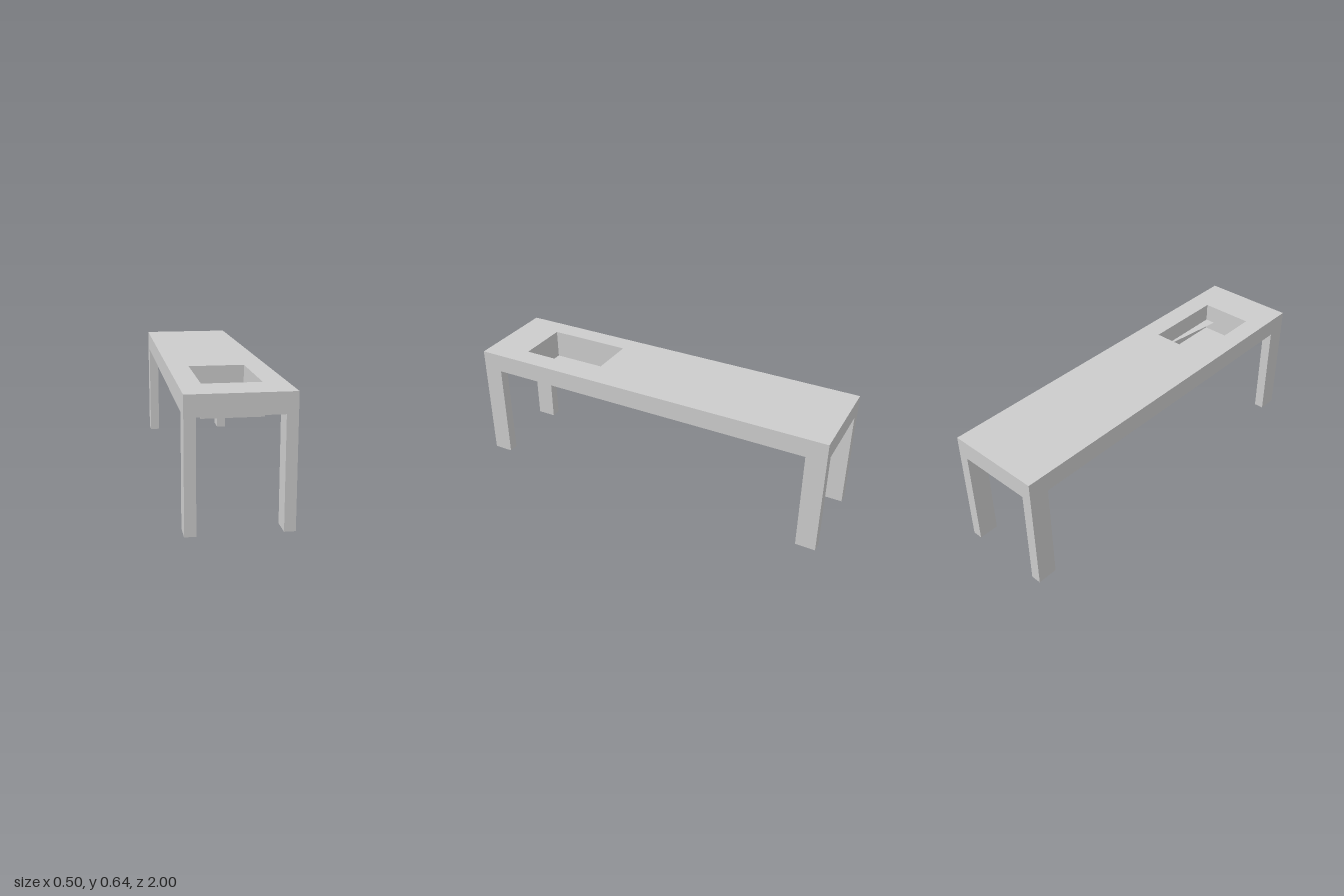
import * as THREE from 'three';

const TOP = 0.639, UNDER = 0.539, BASIN_Y = 0.48, FLOOR_Y = 0.484;
const HALF_X = 0.251, HALF_Z = 1;
const LEG_X = 0.054, LEG_Z = 0.106;
// Rectangles as [x0, x1, z0, z1]
const OPENING = [-0.145, 0.138, 0.329, 0.778];
const BASIN = [-0.149, 0.147, 0.326, 0.793];

const material = new THREE.MeshStandardMaterial({ color: 0xcccccc, flatShading: true });

// Rectangle outline on the x/z plane; shape y is -z so the extrusion rises in y
function rectangle(Type, [x0, x1, z0, z1]) {
  return new Type([[x0, -z1], [x1, -z1], [x1, -z0], [x0, -z0]].map(([x, y]) => new THREE.Vector2(x, y)));
}

// Slab between two heights, optionally with a rectangular hole
function slab(name, outline, y0, y1, hole) {
  const shape = rectangle(THREE.Shape, outline);
  if (hole) shape.holes.push(rectangle(THREE.Path, hole));
  const geometry = new THREE.ExtrudeGeometry(shape, { depth: y1 - y0, bevelEnabled: false });
  geometry.rotateX(-Math.PI / 2).translate(0, y0, 0);
  const mesh = new THREE.Mesh(geometry, material);
  mesh.name = name;
  return mesh;
}

export function createModel() {
  const table = new THREE.Group();
  table.name = 'tableWithBasin';

  // Table top with the basin opening
  table.add(slab('tableTop', [-HALF_X, HALF_X, -HALF_Z, HALF_Z], UNDER, TOP, OPENING));

  // Shallow basin hanging below the opening
  const basin = new THREE.Group();
  basin.name = 'basin';
  basin.add(slab('basinWalls', BASIN, FLOOR_Y, UNDER, OPENING));
  basin.add(slab('basinFloor', BASIN, BASIN_Y, FLOOR_Y));
  table.add(basin);

  // Thin wedge-shaped ledge along the left side of the opening
  const [, x1, z0, z1] = OPENING;
  const wedge = new THREE.Shape([
    new THREE.Vector2(x1, -z0), new THREE.Vector2(0.082, -z1), new THREE.Vector2(x1, -z1),
  ]);
  const ledge = new THREE.Mesh(
    new THREE.ShapeGeometry(wedge).rotateX(-Math.PI / 2).translate(0, UNDER, 0),
    new THREE.MeshStandardMaterial({ color: 0xcccccc, flatShading: true, side: THREE.DoubleSide }),
  );
  ledge.name = 'basinLedge';
  table.add(ledge);

  // Four square-cut legs flush with the corners
  for (const [sx, side] of [[1, 'Left'], [-1, 'Right']]) {
    for (const [sz, end] of [[1, 'front'], [-1, 'back']]) {
      const leg = new THREE.Mesh(new THREE.BoxGeometry(LEG_X, UNDER, LEG_Z), material);
      leg.position.set(sx * (HALF_X - LEG_X / 2), UNDER / 2, sz * (HALF_Z - LEG_Z / 2));
      leg.name = `${end}${side}Leg`;
      table.add(leg);
    }
  }
  return table;
}
